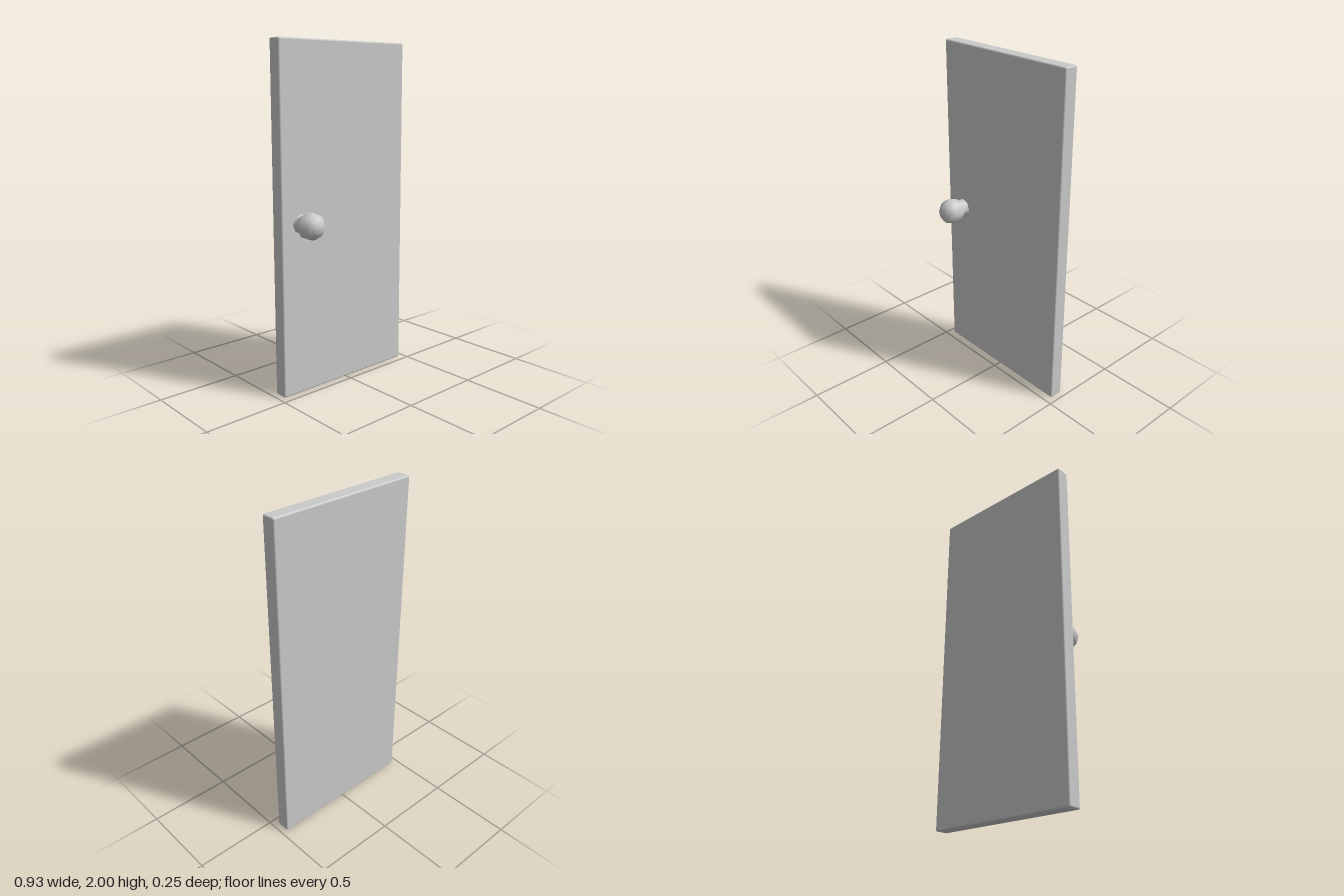
import * as THREE from 'three';
import { RoundedBoxGeometry } from 'three/addons/geometries/RoundedBoxGeometry.js';

export function createModel() {
  const door = new THREE.Group();
  door.name = 'door';
  const material = new THREE.MeshStandardMaterial({ color: 0xcccccc });

  // Slab with softened edges, set behind the knob
  const panel = new THREE.Mesh(new RoundedBoxGeometry(0.932, 2, 0.084, 2, 0.01), material);
  panel.name = 'doorPanel';
  panel.position.set(0, 1, -0.084);
  door.add(panel);

  // Knob and flared neck: eight-sided profile turned about the z axis
  const profile = [
    [0.056, -0.044], [0.051, -0.034], [0.051, -0.014], [0.067, 0.008],
    [0.077, 0.03], [0.077, 0.062], [0.067, 0.09], [0.049, 0.11],
    [0.026, 0.122], [0, 0.126],
  ].map(([r, h]) => new THREE.Vector2(r, h));
  const knobGeometry = new THREE.LatheGeometry(profile, 8);
  knobGeometry.rotateX(Math.PI / 2);
  const knob = new THREE.Mesh(knobGeometry, material);
  knob.name = 'doorKnob';
  knob.position.set(-0.335, 0.995, 0);
  door.add(knob);

  return door;
}
